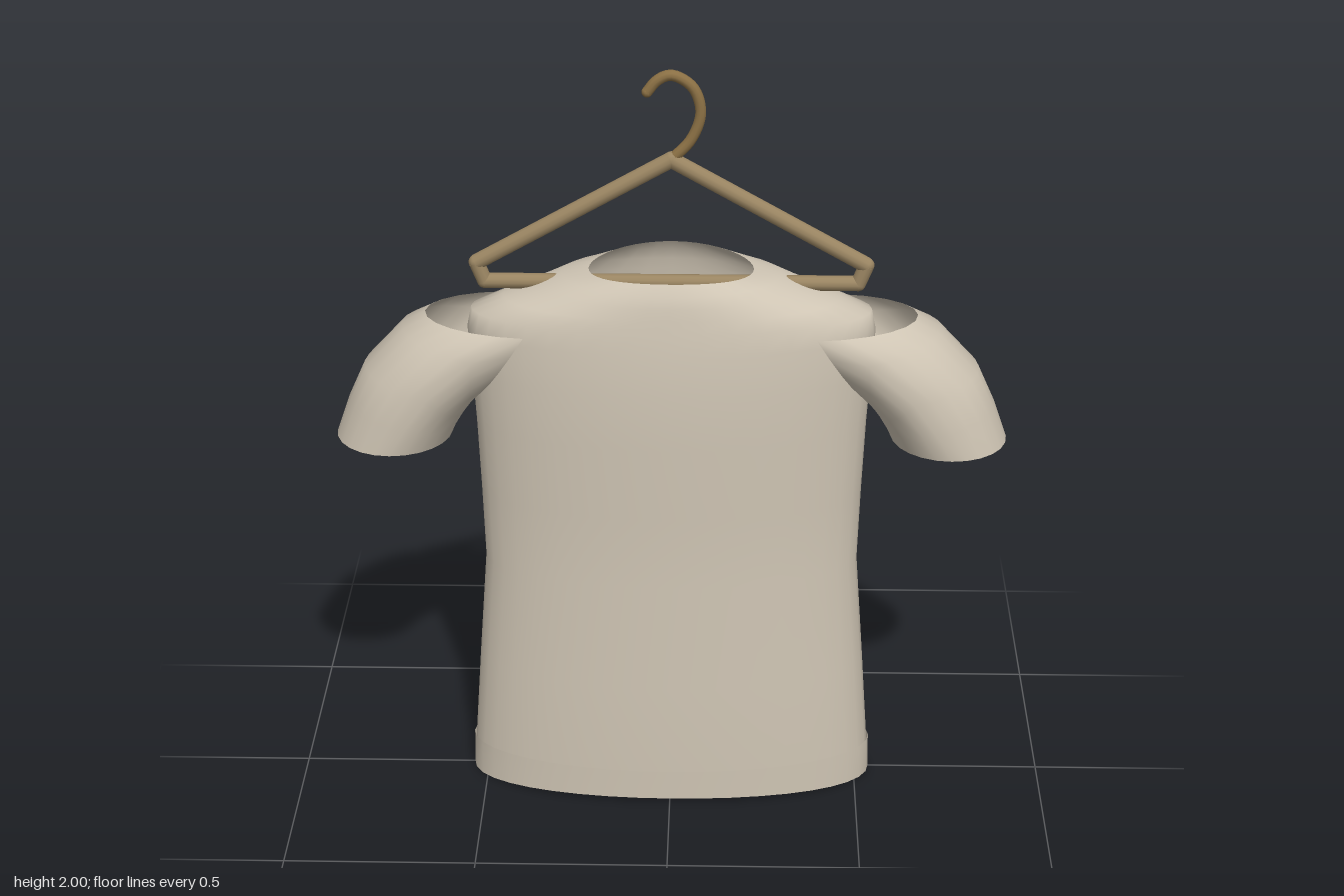
import * as THREE from 'three';

const fabric = new THREE.MeshStandardMaterial({ color: 0xcfc5b4, side: THREE.DoubleSide });
fabric.name = 'beige fabric';
const wood = new THREE.MeshStandardMaterial({ color: 0x9a8562 });
wood.name = 'hanger wood';
const metal = new THREE.MeshStandardMaterial({ color: 0x8c7145 });
metal.name = 'hook bronze';

// Open tube through rings; point(ring, angle) gives [x, y, z]
function loft(rings, sides, point, flip = false) {
  const pos = [], index = [];
  rings.forEach((ring) => {
    for (let j = 0; j < sides; j++) pos.push(...point(ring, (j / sides) * Math.PI * 2));
  });
  for (let i = 0; i < rings.length - 1; i++) {
    for (let j = 0; j < sides; j++) {
      const k = (j + 1) % sides;
      const a = i * sides + j, b = i * sides + k, c = a + sides, d = b + sides;
      if (flip) index.push(a, b, c, b, d, c);
      else index.push(a, c, b, b, c, d);
    }
  }
  const g = new THREE.BufferGeometry();
  g.setAttribute('position', new THREE.Float32BufferAttribute(pos, 3));
  g.setIndex(index);
  g.computeVertexNormals();
  return g;
}

function add(parent, name, geometry, material) {
  const m = new THREE.Mesh(geometry, material);
  m.name = name;
  parent.add(m);
  return m;
}

function rod(parent, name, from, to, radius) {
  const a = new THREE.Vector3(...from), b = new THREE.Vector3(...to);
  const dir = b.clone().sub(a);
  const m = add(parent, name, new THREE.CylinderGeometry(radius, radius, dir.length(), 12), wood);
  m.position.copy(a).add(b).multiplyScalar(0.5);
  m.quaternion.setFromUnitVectors(new THREE.Vector3(0, 1, 0), dir.normalize());
}

export function createModel() {
  const model = new THREE.Group();
  model.name = 'shirtOnHanger';
  const shirt = new THREE.Group();
  shirt.name = 'shirt';
  const hanger = new THREE.Group();
  hanger.name = 'hanger';
  model.add(shirt, hanger);

  // Torso: [height, half width, half depth, wave of the rim]
  const torso = [
    [0.01, 0.535, 0.203, 0.008], [0.1, 0.533, 0.204, 0], [0.35, 0.515, 0.203, 0],
    [0.65, 0.492, 0.192, 0], [0.85, 0.498, 0.194, 0], [1.05, 0.506, 0.2, 0],
    [1.2, 0.515, 0.199, 0], [1.31, 0.523, 0.19, 0], [1.365, 0.512, 0.182, 0],
    [1.4, 0.43, 0.177, 0], [1.43, 0.35, 0.172, 0], [1.46, 0.28, 0.164, 0],
    [1.48, 0.21, 0.145, 0.008],
  ];
  const ellipse = ([y, rx, rz, wave], a) =>
    [rx * Math.cos(a), y - wave * Math.cos(2 * a), rz * Math.sin(a)];
  add(shirt, 'torso', loft(torso, 40, ellipse), fabric);

  // Hem band folded over the bottom edge
  add(shirt, 'hem', loft([[0.008, 0.54, 0.206, 0.008], [0.1, 0.538, 0.207, 0]], 40, ellipse), fabric);

  // Sleeves: outer, middle and inner [x, y] of each ring, and its half depth
  const sleeve = [
    { outer: [0.63, 1.35], mid: [0.37, 1.34], inner: [0.5, 1.13], depth: 0.152 },
    { outer: [0.69, 1.318], mid: [0.5, 1.28], inner: [0.515, 1.11], depth: 0.174 },
    { outer: [0.79, 1.21], mid: [0.62, 1.17], inner: [0.535, 1.08], depth: 0.172 },
    { outer: [0.835, 1.11], mid: [0.68, 1.08], inner: [0.555, 1.045], depth: 0.163 },
    { outer: [0.87, 1.01], mid: [0.72, 1.01], inner: [0.57, 1.01], depth: 0.157 },
  ];
  for (const side of [1, -1]) {
    const around = ({ outer, mid, inner, depth }, a) => {
      const c = Math.cos(a), end = c > 0 ? outer : inner, t = Math.abs(c);
      return [
        side * (mid[0] + (end[0] - mid[0]) * t),
        mid[1] + (end[1] - mid[1]) * t,
        depth * Math.sin(a),
      ];
    };
    add(shirt, side > 0 ? 'leftSleeve' : 'rightSleeve', loft(sleeve, 24, around, side > 0), fabric);

    // Hanger arm and its turned-down end
    rod(hanger, 'hangerArm', [0, 1.765, 0], [side * 0.495, 1.485, 0], 0.021);
    rod(hanger, 'hangerEnd', [side * 0.495, 1.485, 0], [side * 0.475, 1.435, 0], 0.02);
    for (const [x, y] of [[0.495, 1.485], [0.475, 1.435]]) {
      add(hanger, 'hangerCorner', new THREE.SphereGeometry(0.02, 12, 8), wood).position.set(side * x, y, 0);
    }
  }
  rod(hanger, 'hangerBar', [-0.475, 1.435, 0], [0.475, 1.435, 0], 0.02);
  add(hanger, 'hangerPeak', new THREE.SphereGeometry(0.021, 12, 8), wood).position.set(0, 1.765, 0);

  // Hook
  const path = new THREE.CatmullRomCurve3([
    [0, 1.765], [0.05, 1.82], [0.073, 1.89], [0.053, 1.955], [0, 1.986], [-0.035, 1.972], [-0.06, 1.942],
  ].map(([x, y]) => new THREE.Vector3(x, y, 0)));
  add(hanger, 'hook', new THREE.TubeGeometry(path, 32, 0.014, 10), metal);
  const tip = add(hanger, 'hookTip', new THREE.SphereGeometry(0.014, 10, 8), metal);
  tip.position.set(-0.06, 1.942, 0);

  return model;
}
